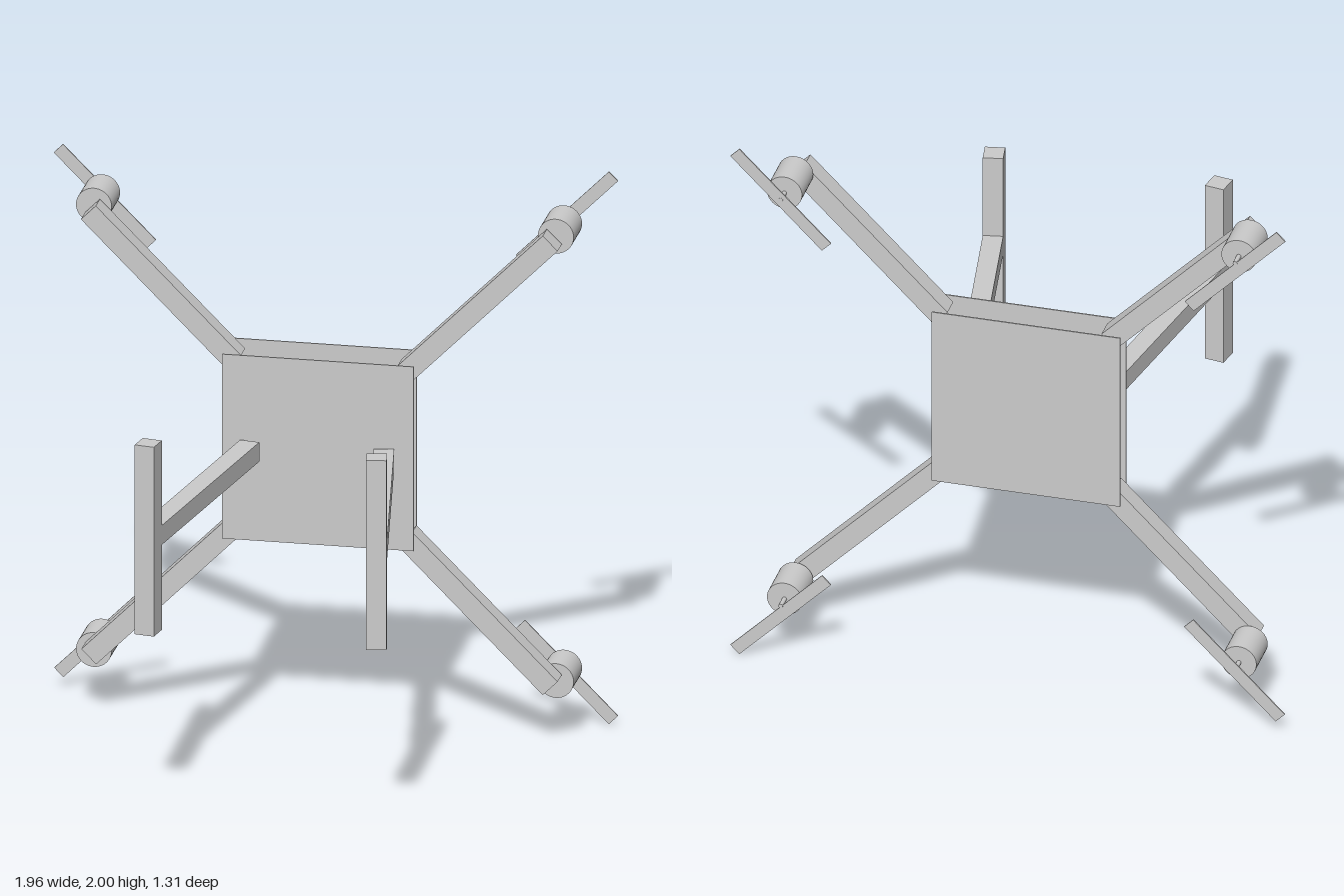
import * as THREE from 'three';

const material = new THREE.MeshStandardMaterial({ color: 0xcccccc });

function add(parent, name, geometry, x, y, z) {
  const mesh = new THREE.Mesh(geometry, material);
  mesh.name = name;
  mesh.position.set(x, y, z);
  parent.add(mesh);
  return mesh;
}

export function createModel() {
  const drone = new THREE.Group();
  drone.name = 'quadcopter';

  // Two thin body plates that sandwich the arms
  const plate = new THREE.BoxGeometry(0.667, 0.667, 0.005);
  add(drone, 'frontPlate', plate, -0.002, 1.022, -0.348);
  add(drone, 'backPlate', plate, -0.02, 1.032, -0.489);

  // Four diagonal arms, each with a motor, shaft and propeller
  const armGeometry = new THREE.BoxGeometry(0.715, 0.073, 0.073);
  const motorGeometry = new THREE.CylinderGeometry(0.062, 0.062, 0.145, 40).rotateX(Math.PI / 2);
  const shaftGeometry = new THREE.CylinderGeometry(0.008, 0.008, 0.055, 16).rotateX(Math.PI / 2);
  const propGeometry = new THREE.BoxGeometry(0.458, 0.045, 0.005);
  // side, up, small depth shift, small propeller drop
  const corners = [
    [1, 1, 0, 0],
    [-1, 1, 0, 0.033],
    [1, -1, 0, 0.035],
    [-1, -1, -0.008, 0],
  ];
  for (const [sx, sy, dz, drop] of corners) {
    const unit = new THREE.Group();
    unit.name = (sy > 0 ? 'upper' : 'lower') + (sx > 0 ? 'Left' : 'Right') + 'Rotor';
    const angle = (sx * sy * Math.PI) / 4;
    const armY = 1.02 + sy * 0.552;
    const motorY = 1.019 + sy * 0.804;
    const x = sx * 0.804;
    add(unit, 'arm', armGeometry, sx * 0.551 - 0.003, armY, -0.41 + dz).rotation.z = angle;
    add(unit, 'motor', motorGeometry, x, motorY, -0.528);
    add(unit, 'shaft', shaftGeometry, x, motorY, -0.624);
    add(unit, 'propeller', propGeometry, x, motorY - drop, -0.648 + dz).rotation.z = angle;
    drone.add(unit);
  }

  // Splayed landing legs, each a strut with a crosswise skid at its end
  const strutGeometry = new THREE.BoxGeometry(0.07, 0.07, 0.915);
  const skidGeometry = new THREE.BoxGeometry(0.07, 0.685, 0.075);
  for (const [sx, x, z] of [[1, 0.23, -0.335], [-1, -0.235, -0.325]]) {
    const leg = new THREE.Group();
    leg.name = sx > 0 ? 'leftLeg' : 'rightLeg';
    leg.position.set(x, 1.02, z);
    leg.rotation.y = sx * 0.173;
    add(leg, 'strut', strutGeometry, 0, 0, 0.4575);
    add(leg, 'skid', skidGeometry, 0, 0, 0.9525);
    drone.add(leg);
  }

  return drone;
}
